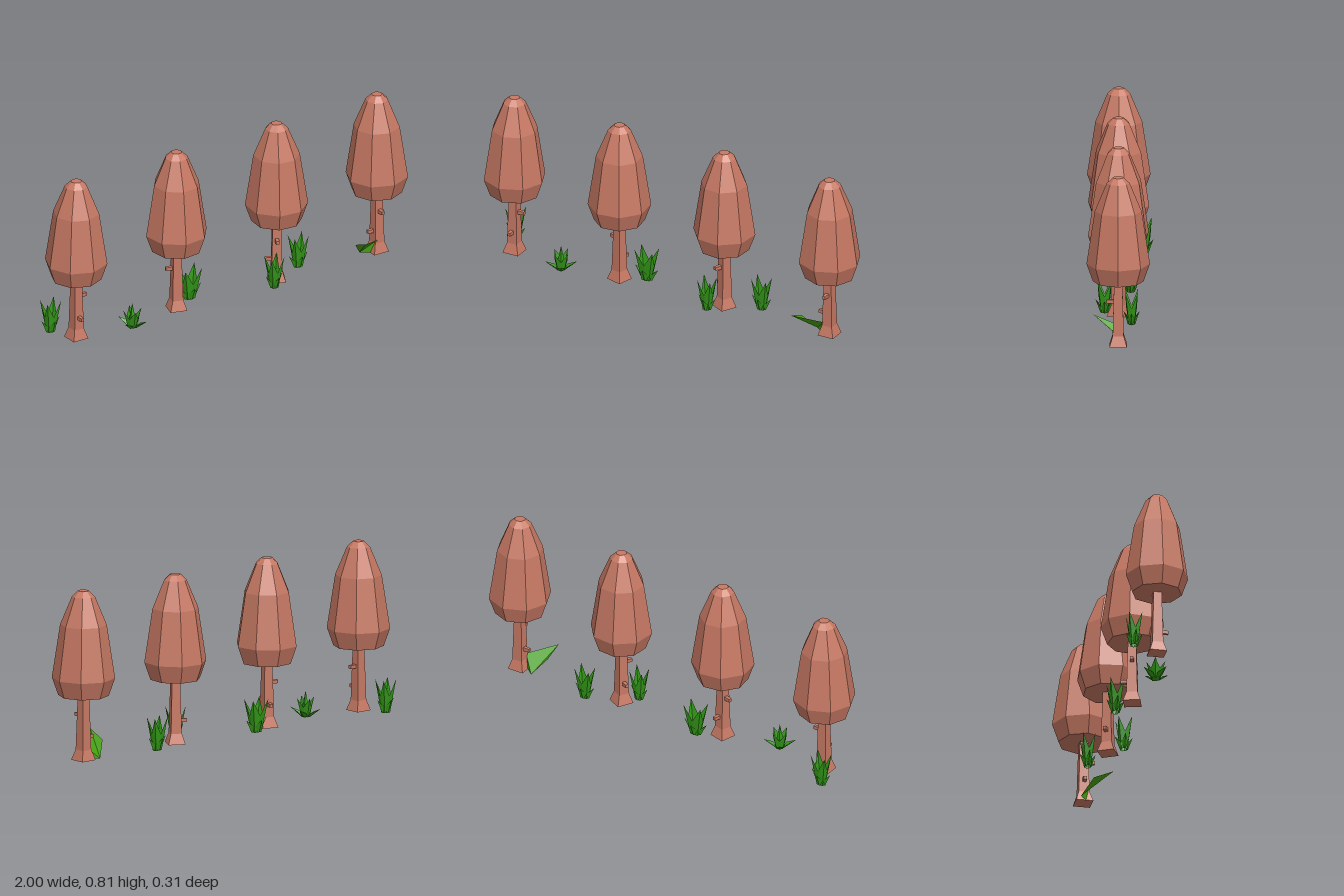
import * as THREE from 'three';

const bark = new THREE.MeshStandardMaterial({ color: 0xc67863, flatShading: true });
const green = new THREE.MeshStandardMaterial({ color: 0x339818, flatShading: true, side: THREE.DoubleSide });
const lime = new THREE.MeshStandardMaterial({ color: 0x45a010, flatShading: true, side: THREE.DoubleSide });

function part(name, geometry, material) {
  const mesh = new THREE.Mesh(geometry, material);
  mesh.name = name;
  return mesh;
}

// Faceted solid of revolution from [radius, height] pairs
function turned(profile, sides, start = 0) {
  return new THREE.LatheGeometry(profile.map(([r, y]) => new THREE.Vector2(r, y)), sides, start);
}

function surface(points, faces) {
  const g = new THREE.BufferGeometry();
  g.setAttribute('position', new THREE.Float32BufferAttribute(points.flat(), 3));
  g.setIndex(faces.flat());
  const flat = g.toNonIndexed();
  flat.computeVertexNormals();
  return flat;
}

// Short tapered stub pointing along +z
function twig(y, turn) {
  const g = new THREE.CylinderGeometry(0.011, 0.014, 0.055, 4);
  g.rotateY(Math.PI / 4).rotateX(Math.PI / 2).translate(0, 0, 0.027);
  const mesh = part('twig', g, bark);
  mesh.position.y = y;
  mesh.rotation.y = turn;
  return mesh;
}

function tree(x, degrees) {
  const group = new THREE.Group();
  group.name = 'tree';
  const crown = [[0, 0.31], [0.119, 0.31], [0.149, 0.395], [0.11, 0.65], [0.054, 0.785], [0.026, 0.812], [0, 0.812]];
  // Square trunk, flared at the foot
  const trunk = [[0, 0], [0.041, 0], [0.026, 0.05], [0.019, 0.32]].map(([r, y]) => [r * Math.SQRT2, y]);
  group.add(part('crown', turned(crown, 8), bark));
  group.add(part('trunk', turned(trunk, 4, Math.PI / 4), bark));
  group.add(twig(0.213, 0), twig(0.11, -Math.PI / 2));
  group.position.set(x, 0, 0.007);
  group.rotation.y = THREE.MathUtils.degToRad(degrees);
  return group;
}

// Folded pointed leaf leaning out along +z
function leaf(reach, height, width, turn) {
  const w = width / 2, m = height * 0.5, r = reach * 0.55;
  const g = surface(
    [[-w * 0.5, 0, 0.012], [0, 0, 0.022], [w * 0.5, 0, 0.012],
      [-w, m, r * 0.75], [0, m, r + 0.008], [w, m, r * 0.75], [0, height, reach]],
    [[0, 1, 4], [0, 4, 3], [1, 2, 5], [1, 5, 4], [3, 4, 6], [4, 5, 6]]);
  const mesh = part('leaf', g, green);
  mesh.rotation.y = turn;
  return mesh;
}

// Four tall leaves on the diagonals, four low ones between them
function bush({ x, z, turn = 0, sx = 1, sz = 1, tall = [0.052, 0.16], low = [0.048, 0.064], spike = 0 }) {
  const group = new THREE.Group();
  group.name = 'bush';
  for (let i = 0; i < 4; i++) {
    const a = i * Math.PI / 2;
    group.add(leaf(tall[0], tall[1], 0.046, a + Math.PI / 4));
    group.add(leaf(low[0], low[1], 0.034, a));
  }
  if (spike) {
    const tip = new THREE.ConeGeometry(0.025, spike, 4);
    group.add(part('middleLeaf', tip.translate(0, spike / 2, 0), green));
  }
  group.position.set(x, 0, z);
  group.rotation.y = turn;
  group.scale.set(sx, 1, sz);
  return group;
}

export function createModel() {
  const model = new THREE.Group();
  model.name = 'treeRow';
  [[-0.852, 90], [-0.285, -106], [0.282, -28], [0.85, 0]].forEach(([x, turn]) => model.add(tree(x, turn)));

  [
    { x: -0.915, z: -0.115, sx: 1.05, sz: 0.85 },
    { x: -0.57, z: 0.06, turn: Math.PI / 6, tall: [0.045, 0.092], low: [0.076, 0.042], spike: 0.125 },
    { x: -0.17, z: -0.05, sx: 1.3, sz: 0.9 },
    { x: 0.225, z: 0.072, sx: 0.95, sz: 0.9 },
    { x: 0.447, z: -0.055, sx: 1.08, sz: 0.8 },
  ].forEach((b) => model.add(bush(b)));

  // Single broad leaf at the foot of the last tree
  model.add(part('broadLeaf', surface(
    [[0.77, 0, -0.02], [0.825, 0, 0.025], [0.833, 0.068, 0.034], [0.708, 0.113, 0.124], [0.712, 0.074, 0.03]],
    [[0, 1, 2], [0, 2, 3], [0, 3, 4]]), lime));
  return model;
}
